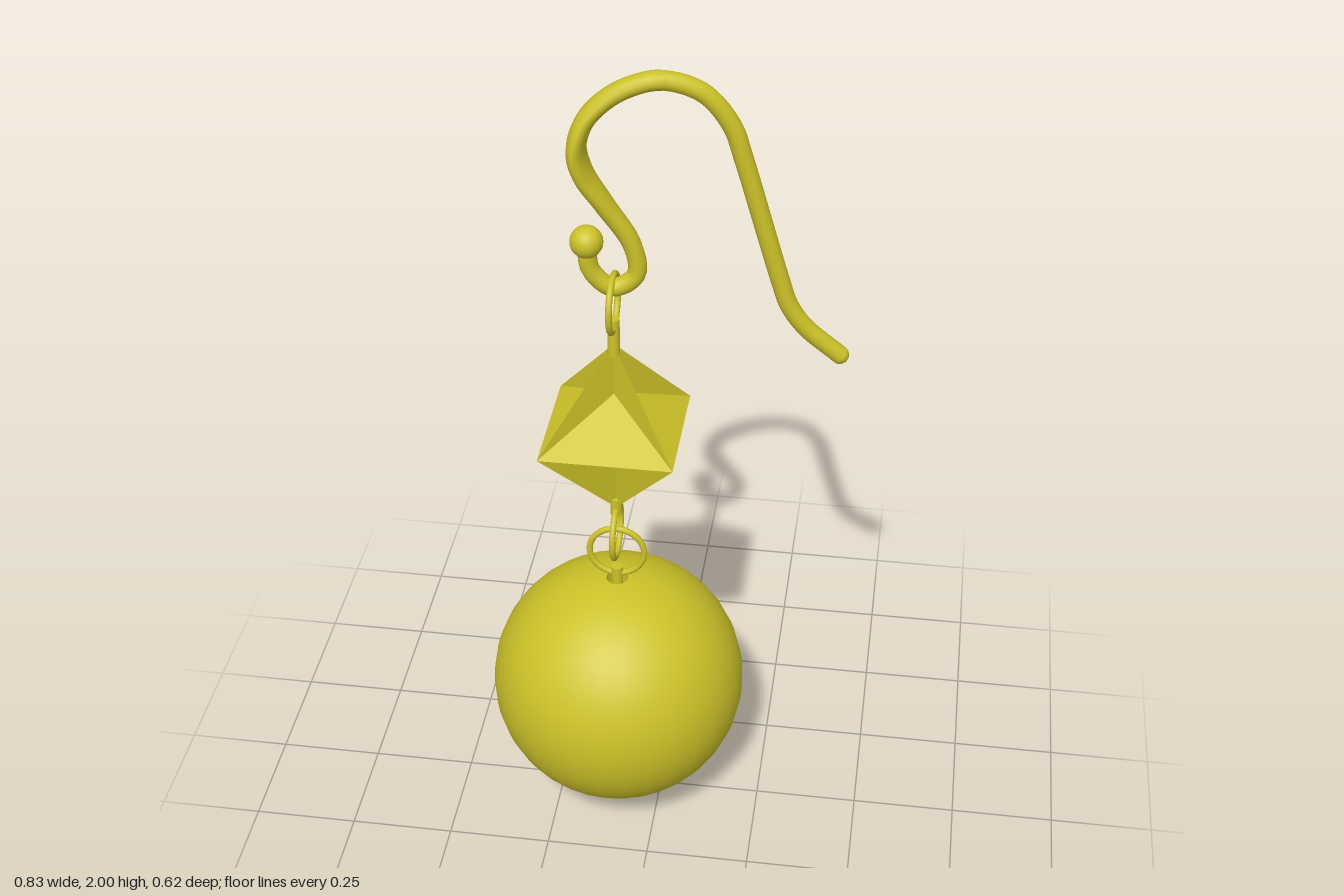
import * as THREE from 'three';
import { mergeVertices } from 'three/addons/utils/BufferGeometryUtils.js';

const AXIS_X = -0.106; // vertical line the beads hang on

export function createModel() {
  const group = new THREE.Group();
  const gold = new THREE.MeshStandardMaterial({ color: 0xccc228 });
  const facetGold = new THREE.MeshStandardMaterial({ color: 0xccc228, flatShading: true });
  const innerGold = new THREE.MeshStandardMaterial({ color: 0xccc228, side: THREE.BackSide });

  const add = (name, geometry, x, y, z = 0, material = gold) => {
    const mesh = new THREE.Mesh(geometry, material);
    mesh.name = name;
    mesh.position.set(x, y, z);
    group.add(mesh);
    return mesh;
  };
  const pin = (name, y0, y1, r) =>
    add(name, new THREE.CylinderGeometry(r, r, y1 - y0, 16), AXIS_X, (y0 + y1) / 2);
  const ring = (name, y, turned) => {
    const mesh = add(name, new THREE.TorusGeometry(0.066, 0.0075, 10, 40), AXIS_X, y);
    if (turned) mesh.rotation.y = Math.PI / 2;
  };

  // Ear hook: a bent wire in a slightly turned upright plane
  const hookZ = (x) => -0.01 - 0.16 * x;
  const path = [
    [-0.16, 1.59], [-0.152, 1.53], [-0.105, 1.485], [-0.055, 1.515], [-0.062, 1.59],
    [-0.12, 1.69], [-0.164, 1.765], [-0.177, 1.825], [-0.157, 1.89], [-0.115, 1.936],
    [-0.065, 1.965], [0, 1.979], [0.085, 1.95], [0.145, 1.875], [0.172, 1.795],
    [0.215, 1.645], [0.258, 1.495], [0.278, 1.435], [0.315, 1.378], [0.395, 1.303],
  ].map(([x, y]) => new THREE.Vector3(x, y, hookZ(x)));
  const curve = new THREE.CatmullRomCurve3(path);
  const segments = 120, sides = 14;
  let wire = new THREE.TubeGeometry(curve, segments, 0.021, sides);
  const pos = wire.attributes.position;
  // Hammer the wire flat and wide at the back of the bend
  for (let i = 0; i <= segments; i++) {
    const c = curve.getPointAt(i / segments);
    const near = c.x < 0 ? Math.exp(-(((c.y - 1.81) / 0.12) ** 2)) : 0;
    for (let j = 0; j <= sides; j++) {
      const k = i * (sides + 1) + j;
      pos.setZ(k, c.z + (pos.getZ(k) - c.z) * (1 + 1.4 * near));
    }
  }
  wire.deleteAttribute('uv');
  wire.deleteAttribute('normal');
  wire = mergeVertices(wire);
  wire.computeVertexNormals();
  add('earHook', wire, 0, 0);
  const tip = path[path.length - 1];
  add('hookTip', new THREE.SphereGeometry(0.021, 14, 10), tip.x, tip.y, tip.z);
  add('hookBall', new THREE.SphereGeometry(0.037, 20, 14), -0.16, 1.6, hookZ(-0.16));

  // Diamond bead: eight faces sunk to the axis as low ramps, leaving thin fins along the edges
  const half = 0.154, height = 0.228, rampTop = 0.1, fin = 0.008;
  const corners = [];
  for (let q = 0; q < 4; q++) {
    const turn = (x, y, z) => new THREE.Vector3(x, y, z).applyAxisAngle(new THREE.Vector3(0, 1, 0), q * Math.PI / 2);
    for (const s of [1, -1]) {
      const a = turn(-half * s, 0, half), b = turn(half * s, 0, half);
      const top = new THREE.Vector3(0, height * s, 0), p = turn(0, rampTop * s, fin);
      corners.push(a, b, p, b, top, p, top, a, p);
    }
  }
  const bead = new THREE.BufferGeometry().setFromPoints(corners);
  bead.computeVertexNormals();
  add('diamondBead', bead, AXIS_X, 1.105, 0, facetGold);

  // Pins and linking rings
  ring('upperRing', 1.44, true);
  pin('diamondTopPin', 1.305, 1.4, 0.014);
  pin('diamondBottomPin', 0.86, 0.905, 0.014);
  ring('middleRing', 0.808, true);
  ring('lowerRing', 0.747, false);

  // Round bead, drilled through for its head pin
  const radius = 0.309, hole = 0.026;
  const start = Math.asin(hole / radius);
  add('roundBead', new THREE.SphereGeometry(radius, 32, 32, 0, Math.PI * 2, start, Math.PI - 2 * start), AXIS_X, 0.357);
  add('beadHole', new THREE.CylinderGeometry(hole, hole, 2 * radius * Math.cos(start), 32, 1, true), AXIS_X, 0.357, 0, innerGold);
  pin('headPin', 0.02, 0.7, 0.014);
  pin('pinHead', 0, 0.033, 0.045);

  return group;
}
